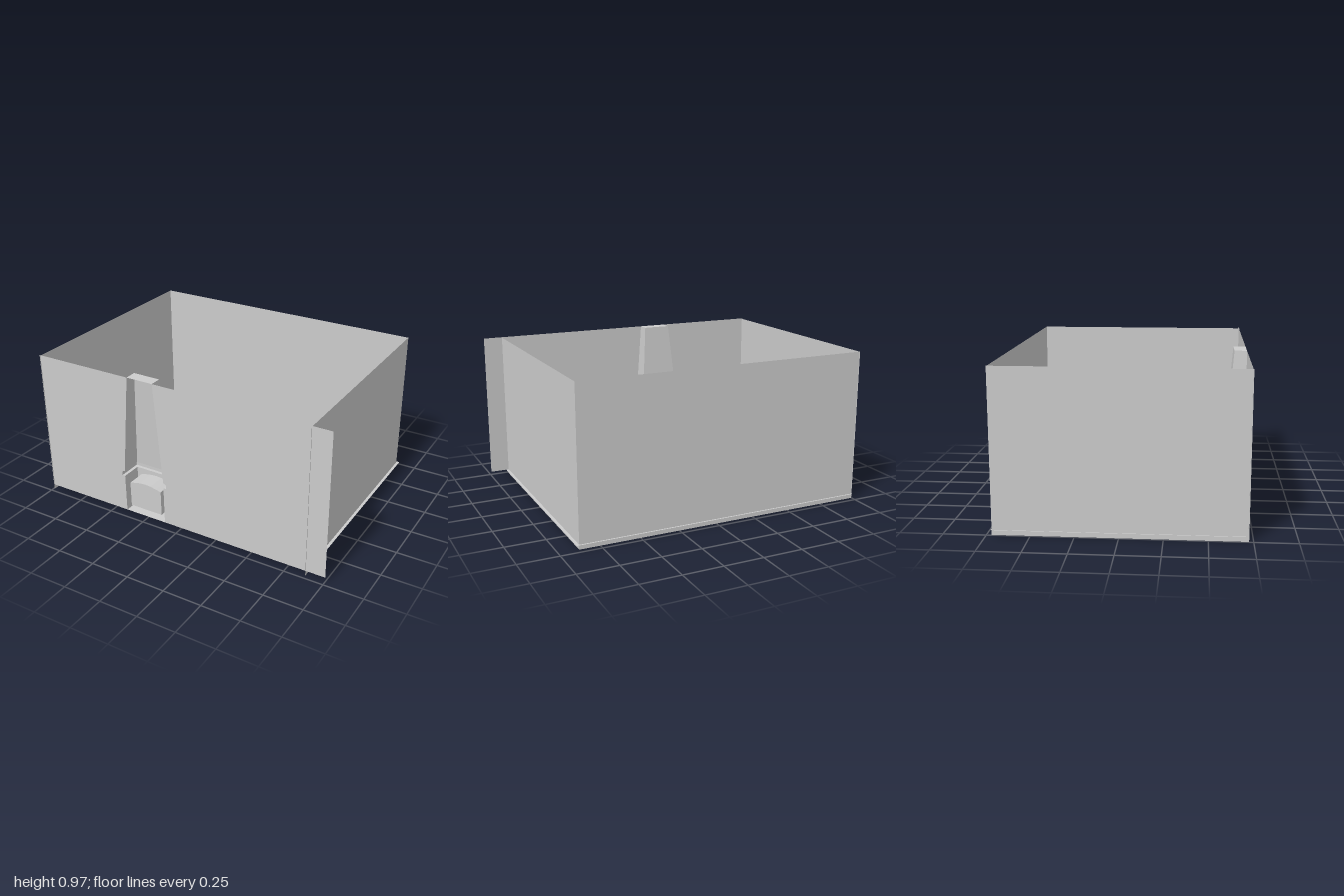
import * as THREE from 'three';

const material = new THREE.MeshStandardMaterial({ color: 0xcccccc, side: THREE.DoubleSide, flatShading: true });
const FLOOR = 0.03, TOP = 0.97, FRONT = 0.72, BACK = -0.715, LEFT = 0.877, RIGHT = -0.994;
const BREAST = 0.59; // room-side face of the fireplace

// Chimney outline from floor to top, with a rounded mantel: [y, xMin, xMax, z]
const SECTIONS = [
  [FLOOR, -0.39, -0.10, BREAST],
  [0.28, -0.39, -0.10, BREAST],
  [0.28, -0.41, -0.08, 0.57],
  [0.303, -0.41, -0.08, 0.57],
  [0.311, -0.403, -0.087, 0.577],
  [0.315, -0.39, -0.10, BREAST],
  [TOP, -0.33, -0.15, 0.645],
];

function shapeOf(points) {
  return new THREE.Shape(points.map(([x, y]) => new THREE.Vector2(x, y)));
}

// Flat-faced surface from a list of four-cornered faces
function quads(faces) {
  const pos = [];
  for (const [a, b, c, d] of faces) pos.push(...a, ...b, ...c, ...a, ...c, ...d);
  const geometry = new THREE.BufferGeometry();
  geometry.setAttribute('position', new THREE.Float32BufferAttribute(pos, 3));
  geometry.computeVertexNormals();
  return geometry;
}

// Upright wall between two points, reaching below the floor to the ground
function wall(x0, z0, x1, z1) {
  const top = 0.967;
  return quads([[[x0, 0, z0], [x1, 0, z1], [x1, top, z1], [x0, top, z0]]]);
}

// Firebox opening with a shallow arched head
function archPoints() {
  const pts = [[-0.36, 0.07], [-0.13, 0.07]];
  for (let i = 0; i <= 6; i++) {
    const t = i / 6;
    pts.push([-0.13 - 0.23 * t, 0.235 + 0.02 * Math.sin(Math.PI * t)]);
  }
  return pts;
}

export function createModel() {
  const model = new THREE.Group();
  const add = (name, geometry, parent = model) => {
    const mesh = new THREE.Mesh(geometry, material);
    mesh.name = name;
    parent.add(mesh);
    return mesh;
  };

  // Thin raised floor, reaching just past the walls
  add('floor', quads([[
    [-1, FLOOR, FRONT], [0.895, FLOOR, FRONT], [0.895, FLOOR, -0.725], [-1, FLOOR, -0.725],
  ]]));

  // Plain walls; the side walls poke slightly through the front and back
  add('backWall', wall(LEFT, BACK, RIGHT, BACK));
  add('leftWall', wall(LEFT, 0.725, LEFT, BACK));
  add('rightWall', wall(RIGHT, -0.72, RIGHT, 0.725));

  // Front wall, cut away along the chimney outline and running past the corner
  const front = new THREE.Group();
  front.name = 'frontWall';
  model.add(front);
  const rightEdge = SECTIONS.map(([y, x]) => [x, y]);
  const leftEdge = SECTIONS.map(([y, , x]) => [x, y]);
  for (const [name, edge, end] of [['frontWallRight', rightEdge, -1], ['frontWallLeft', leftEdge, 1]]) {
    const piece = new THREE.ShapeGeometry(shapeOf([[end, FLOOR], ...edge, [end, TOP]]));
    add(name, piece.translate(0, 0, FRONT), front);
  }

  // Fireplace: hollow chimney, open towards the front
  const fireplace = new THREE.Group();
  fireplace.name = 'fireplace';
  model.add(fireplace);
  const faces = [];
  for (let i = 0; i < SECTIONS.length - 1; i++) {
    const ring = ([y, x0, x1, z]) => [[x0, y, FRONT], [x0, y, z], [x1, y, z], [x1, y, FRONT]];
    const low = ring(SECTIONS[i]), high = ring(SECTIONS[i + 1]);
    for (let k = 0; k < 3; k++) {
      if (i === 0 && k === 1) continue; // the pierced breast goes here
      faces.push([low[k + 1], low[k], high[k], high[k + 1]]);
    }
  }
  add('chimney', quads(faces), fireplace);
  add('chimneyCap', quads([[
    [-0.33, TOP, FRONT], [-0.15, TOP, FRONT], [-0.15, TOP, 0.645], [-0.33, TOP, 0.645],
  ]]), fireplace);

  // Breast with the arched opening
  const arch = archPoints();
  const breast = shapeOf([[-0.39, FLOOR], [-0.10, FLOOR], [-0.10, 0.28], [-0.39, 0.28]]);
  breast.holes.push(shapeOf(arch));
  add('chimneyBreast', new THREE.ShapeGeometry(breast).translate(0, 0, BREAST), fireplace);

  // Firebox niche behind the opening
  const nicheEnd = 0.71;
  add('fireboxSides', quads(arch.map(([x, y], i) => {
    const [u, v] = arch[(i + 1) % arch.length];
    return [[x, y, nicheEnd], [x, y, BREAST], [u, v, BREAST], [u, v, nicheEnd]];
  })), fireplace);
  add('fireboxBack', new THREE.ShapeGeometry(shapeOf(arch)).translate(0, 0, nicheEnd), fireplace);

  return model;
}
